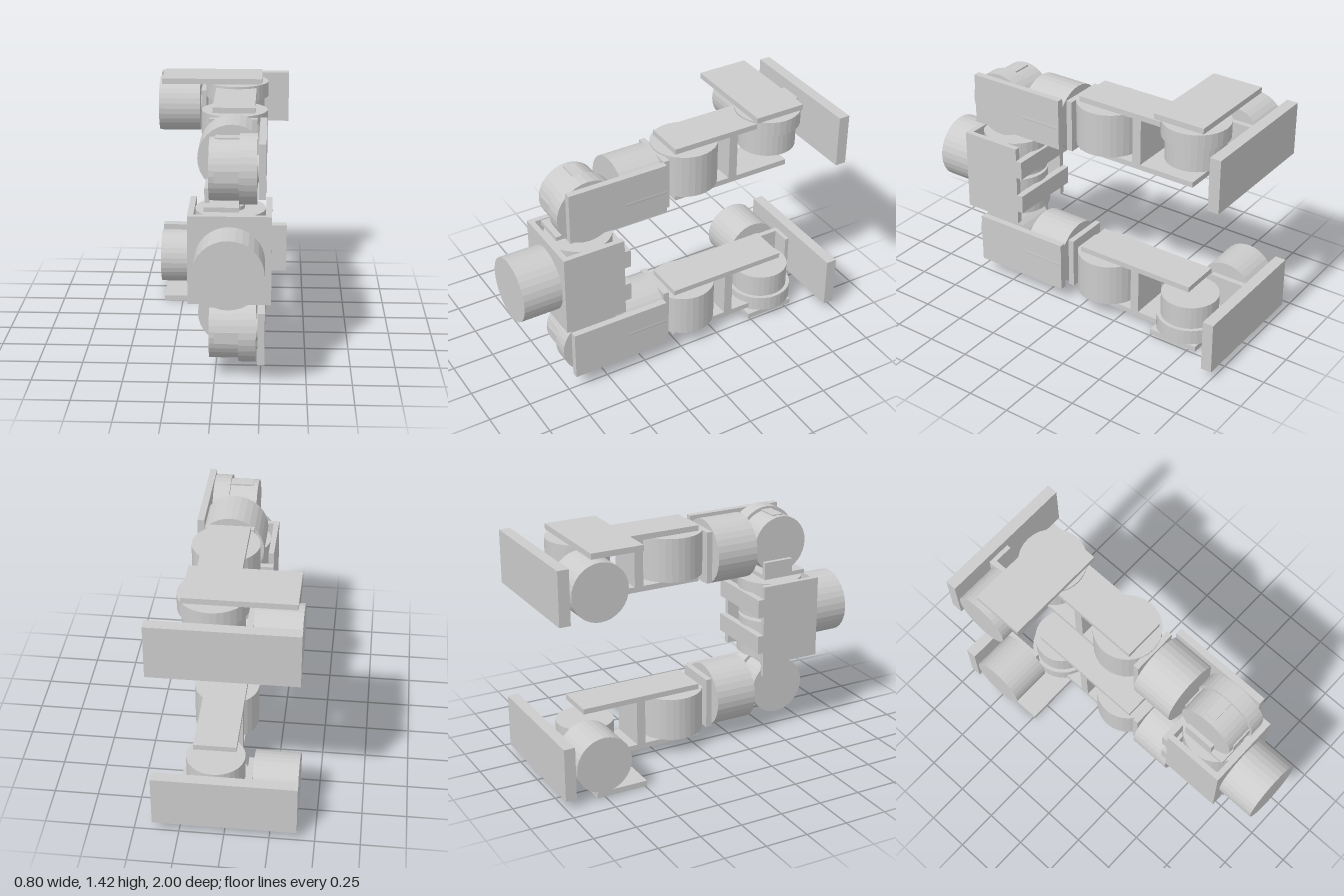
import * as THREE from 'three';

const MID = 0.71;   // height of the mirror plane between the two arms
const CX = 0.083;   // x of the main joint axes
const mat = new THREE.MeshStandardMaterial({ color: 0xcccccc, flatShading: true });

function add(group, name, geometry, x, y, z) {
  const mesh = new THREE.Mesh(geometry, mat);
  mesh.name = name;
  mesh.position.set(x, y, z);
  group.add(mesh);
  return mesh;
}

// Box given by its bounds on each axis
function box(group, name, [x0, x1], [y0, y1], [z0, z1]) {
  return add(group, name, new THREE.BoxGeometry(x1 - x0, Math.abs(y1 - y0), z1 - z0),
    (x0 + x1) / 2, (y0 + y1) / 2, (z0 + z1) / 2);
}

// Cylinder along an axis; the range [a, b] is measured on that axis
function drum(group, name, axis, r, [a, b], x, y, z) {
  const g = new THREE.CylinderGeometry(r, r, Math.abs(b - a), 32);
  if (axis === 'x') g.rotateZ(Math.PI / 2);
  if (axis === 'z') g.rotateX(Math.PI / 2);
  const p = { x, y, z };
  p[axis] = (a + b) / 2;
  return add(group, name, g, p.x, p.y, p.z);
}

// One arm: s = 1 for the upper, -1 for its mirror image
function makeArm(name, s) {
  const arm = new THREE.Group();
  arm.name = name;
  const Y = (y) => MID + s * (y - MID);
  const R = (a, b) => [Y(a), Y(b)];
  const cy = Y(1.16);

  // Base motor standing inside the body frame
  drum(arm, 'baseMotor', 'y', 0.19, R(0.87, 0.945), CX, 0, 0.57);
  drum(arm, 'baseMotorBody', 'y', 0.18, R(0.72, 0.87), CX, 0, 0.57);
  drum(arm, 'baseHorn', 'y', 0.075, R(0.94, 0.967), CX, 0, 0.57);

  // Angle bracket carrying the shoulder motor
  box(arm, 'shoulderBracketBase', [-0.055, 0.13], R(0.965, 0.99), [0.455, 0.725]);
  box(arm, 'shoulderBracketSide', [-0.055, -0.028], R(0.965, 1.07), [0.455, 0.64]);

  // Shoulder motor, across the body, with ribs on its casing
  drum(arm, 'shoulderMotorBody', 'x', 0.17, [-0.03, 0.13], 0, cy, 0.57);
  drum(arm, 'shoulderMotor', 'x', 0.19, [0.13, 0.225], 0, cy, 0.57);
  drum(arm, 'shoulderHorn', 'x', 0.075, [0.22, 0.238], 0, cy, 0.57);
  box(arm, 'casingRib', [0, 0.13], R(0.985, 1.335), [0.535, 0.6]);
  box(arm, 'casingRib', [0, 0.13], R(1.128, 1.193), [0.395, 0.745]);

  // Upper arm link and roll motor
  box(arm, 'upperArmPlate', [0.233, 0.272], R(1.03, 1.33), [0.115, 0.71]);
  drum(arm, 'rollMotor', 'z', 0.19, [0.115, 0.37], CX, cy, 0);
  drum(arm, 'rollHorn', 'z', 0.075, [0.09, 0.12], CX, cy, 0);
  box(arm, 'elbowMount', [-0.055, 0.215], R(1.01, 1.315), [0.065, 0.1]);

  // Elbow motor between the forearm plates
  drum(arm, 'elbowMotor', 'y', 0.19, R(1.07, 1.325), CX, 0, -0.105);
  drum(arm, 'elbowHorn', 'y', 0.1, R(1.05, 1.335), CX, 0, -0.105);
  box(arm, 'forearmShortPlate', [-0.04, 0.202], R(1.33, 1.362), [-0.51, 0.02]);
  box(arm, 'forearmLongPlate', [-0.04, 0.202], R(1.03, 1.062), [-0.72, 0.02]);
  box(arm, 'forearmWeb', [-0.04, 0.202], R(1.06, 1.332), [-0.385, -0.332]);

  // Wrist motor and its link
  drum(arm, 'wristMotorBody', 'y', 0.167, R(1.145, 1.285), CX, 0, -0.66);
  drum(arm, 'wristMotor', 'y', 0.19, R(1.285, 1.375), CX, 0, -0.66);
  drum(arm, 'wristHorn', 'y', 0.075, R(1.37, 1.39), CX, 0, -0.66);
  box(arm, 'wristPlate', [-0.365, 0.235], R(1.387, 1.42), [-0.795, -0.49]);

  // Hand motor, angle bracket and hand plate
  drum(arm, 'handMotor', 'x', 0.165, [-0.395, -0.145], 0, Y(1.21), -0.76);
  drum(arm, 'handHorn', 'x', 0.05, [-0.15, -0.135], 0, Y(1.21), -0.76);
  box(arm, 'handBracketSide', [-0.14, -0.108], R(1.125, 1.307), [-0.937, -0.68]);
  box(arm, 'handBracketBack', [-0.14, 0], R(1.125, 1.307), [-0.937, -0.91]);
  box(arm, 'handPlate', [-0.4, 0.4], R(1.06, 1.37), [-1, -0.935]);
  return arm;
}

export function createModel() {
  const model = new THREE.Group();
  model.name = 'twinArmRobot';

  // Body frame: front plate, two side plates and two rear straps
  const body = new THREE.Group();
  body.name = 'body';
  box(body, 'frontPlate', [-0.14, 0.305], [0.465, 0.955], [0.738, 0.77]);
  for (const x of [-0.14, 0.273]) {
    box(body, 'sidePlate', [x, x + 0.032], [0.465, 0.955], [0.4, 0.74]);
  }
  for (const y of [0.545, 0.77]) {
    box(body, 'rearStrap', [-0.14, 0.305], [y, y + 0.11], [0.363, 0.402]);
  }
  drum(body, 'head', 'z', 0.188, [0.77, 1], CX, MID, 0);
  model.add(body);

  model.add(makeArm('upperArm', 1), makeArm('lowerArm', -1));
  return model;
}
